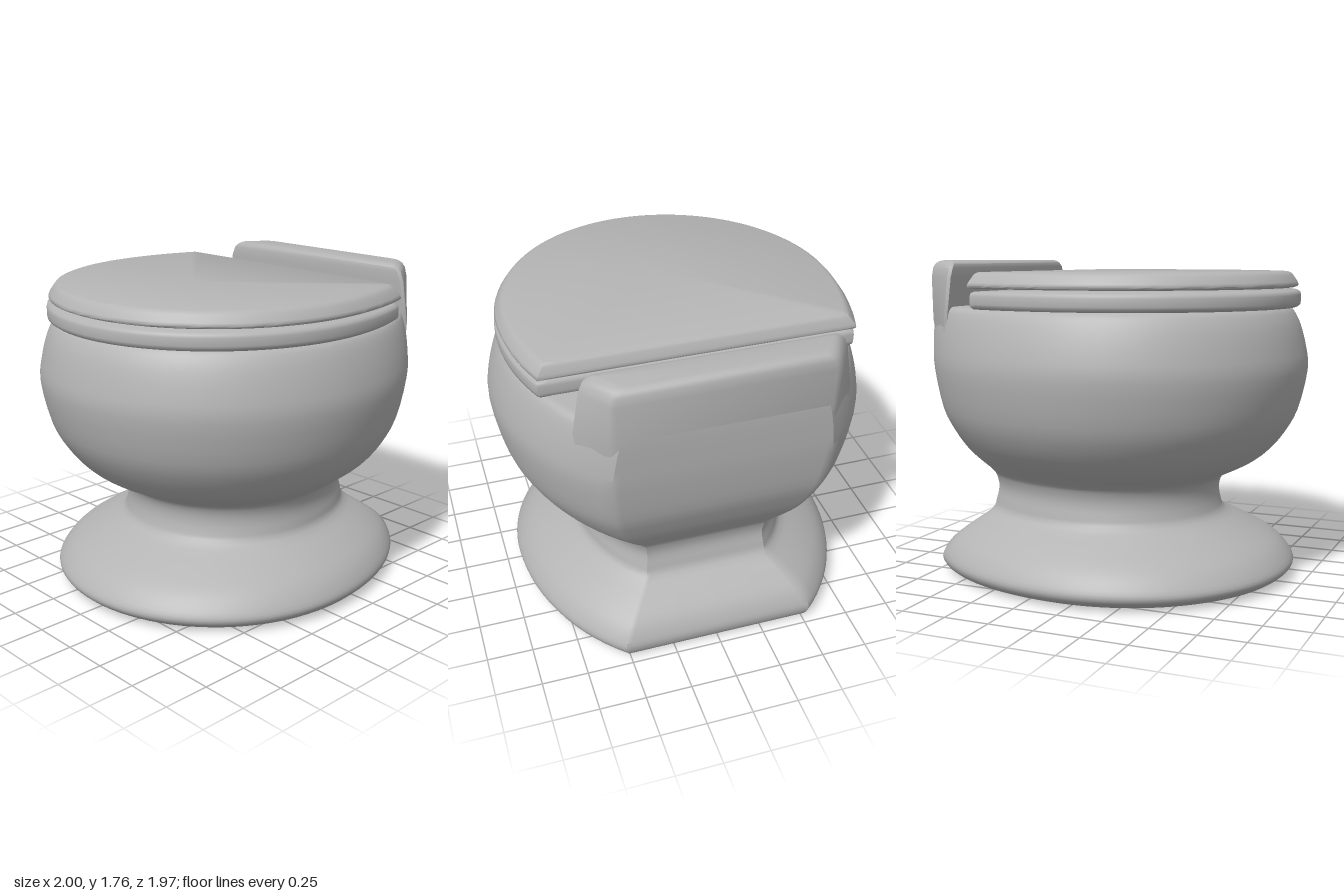
import * as THREE from 'three';
import { toCreasedNormals } from 'three/addons/utils/BufferGeometryUtils.js';

// Closed skin through equal-length rings of Vector3, listed bottom to top
function loft(rings, crease = 0.7) {
  const n = rings[0].length, pos = [], index = [];
  rings.forEach(r => r.forEach(p => pos.push(p.x, p.y, p.z)));
  for (let j = 0; j < rings.length - 1; j++) {
    for (let i = 0; i < n; i++) {
      const a = j * n + i, b = j * n + (i + 1) % n;
      index.push(a, a + n, b, b, a + n, b + n);
    }
  }
  // flat caps
  [0, rings.length - 1].forEach((j, top) => {
    const c = pos.length / 3;
    const mid = rings[j].reduce((s, p) => s.add(p), new THREE.Vector3()).divideScalar(n);
    pos.push(mid.x, mid.y, mid.z);
    for (let i = 0; i < n; i++) {
      const a = j * n + i, b = j * n + (i + 1) % n;
      if (top) index.push(c, b, a); else index.push(c, a, b);
    }
  });
  const g = new THREE.BufferGeometry();
  g.setAttribute('position', new THREE.Float32BufferAttribute(pos, 3));
  g.setIndex(index);
  return toCreasedNormals(g, crease);
}

// D-shaped ring: round front, bulging sides, flat back
function dRing(y, w, zf, zb, backW, cz) {
  const pts = [], add = (x, z) => pts.push(new THREE.Vector3(x, y, z));
  const N = 48, M = 14, end = Math.acos(backW / w);
  const back = k => (cz - zb) * Math.sin(end * k / M) / Math.sin(end);
  for (let i = 0; i <= N; i++) {
    const a = Math.PI * i / N;
    add(w * Math.cos(a), cz + (zf - cz) * Math.sin(a));
  }
  for (let k = 1; k <= M; k++) add(-w * Math.cos(end * k / M), cz - back(k));
  for (const f of [-0.94, -0.5, 0, 0.5, 0.94]) add(f * backW, zb);
  for (let k = M; k >= 1; k--) add(w * Math.cos(end * k / M), cz - back(k));
  return pts;
}

// Trapezoid ring with trimmed corners
function tankRing([y, xf, xb, zf, zb]) {
  const c = [[xf, zf], [-xf, zf], [-xb, zb], [xb, zb]].map(([x, z]) => new THREE.Vector3(x, y, z));
  return c.flatMap((p, i) => [c[(i + 3) % 4], c[(i + 1) % 4]].map(q =>
    p.clone().add(q.clone().sub(p).setLength(0.02))));
}

export function createModel() {
  const group = new THREE.Group();
  const grey = new THREE.MeshStandardMaterial({ color: 0xb4b4b4 });
  grey.name = 'grey';
  const add = (name, geometry) => {
    const m = new THREE.Mesh(geometry, grey);
    m.name = name;
    group.add(m);
    return m;
  };

  // Foot, neck and bowl: height, half width, front z, back z
  const profile = [
    [0.005, 0.80, 0.80, -0.90], [0.025, 0.88, 0.87, -0.95], [0.07, 0.925, 0.92, -0.97],
    [0.12, 0.915, 0.905, -0.965], [0.20, 0.85, 0.825, -0.92], [0.28, 0.73, 0.67, -0.83],
    [0.35, 0.612, 0.53, -0.742], [0.41, 0.59, 0.497, -0.72], [0.48, 0.58, 0.487, -0.706],
    [0.54, 0.592, 0.50, -0.715], [0.58, 0.62, 0.54, -0.735], [0.65, 0.725, 0.68, -0.785],
    [0.72, 0.815, 0.775, -0.83], [0.82, 0.895, 0.86, -0.88], [0.95, 0.957, 0.93, -0.93],
    [1.17, 1.0, 0.98, -0.965], [1.30, 0.986, 0.967, -0.975], [1.42, 0.95, 0.935, -0.98],
    [1.49, 0.917, 0.90, -0.98], [1.515, 0.89, 0.875, -0.975], [1.522, 0.86, 0.85, -0.96],
  ];
  const heights = new THREE.CatmullRomCurve3(
    profile.map(p => new THREE.Vector3(p[0], 0, 0)), false, 'catmullrom');
  const sizes = new THREE.CatmullRomCurve3(
    profile.map(p => new THREE.Vector3(p[1], p[2], p[3])), false, 'catmullrom');
  const rings = [], steps = (profile.length - 1) * 3;
  for (let i = 0; i <= steps; i++) {
    const y = heights.getPoint(i / steps).x, s = sizes.getPoint(i / steps);
    rings.push(dRing(y, s.x, s.y, s.z, 0.57 * s.x, s.y - 1.03 * s.x));
  }
  add('bowlAndFoot', loft(rings));

  // Low back rest rising out of the bowl
  add('tank', loft([
    [1.20, 0.70, 0.54, -0.82, -0.955], [1.45, 0.73, 0.56, -0.79, -0.98],
    [1.68, 0.69, 0.565, -0.785, -0.984], [1.73, 0.668, 0.55, -0.785, -0.984],
    [1.752, 0.645, 0.535, -0.79, -0.978], [1.765, 0.62, 0.515, -0.80, -0.967],
    [1.77, 0.59, 0.49, -0.82, -0.95],
  ].map(tankRing), 0.9));

  // Seat and lid: slabs with softened rims, listed as height and inset
  const slab = (rows, w, zf, zb) => loft(rows.map(([y, d]) =>
    dRing(y, w - d, zf - d, zb + d * 0.6, 0.83 - d, -0.05)), 0.85);
  add('seat', slab([[1.518, 0.02], [1.53, 0.003], [1.545, 0], [1.585, 0], [1.60, 0.004], [1.61, 0.02]],
    0.932, 0.935, -0.572));
  add('lid', slab([[1.625, 0.02], [1.632, 0.003], [1.64, 0], [1.655, 0.006], [1.69, 0.03], [1.703, 0.042], [1.71, 0.06]],
    0.927, 0.92, -0.588));

  // Hinge blocks behind the seat
  for (const side of [-1, 1]) {
    add(side > 0 ? 'leftHinge' : 'rightHinge', new THREE.BoxGeometry(0.07, 0.055, 0.09))
      .position.set(side * 0.335, 1.537, -0.67);
  }
  return group;
}
